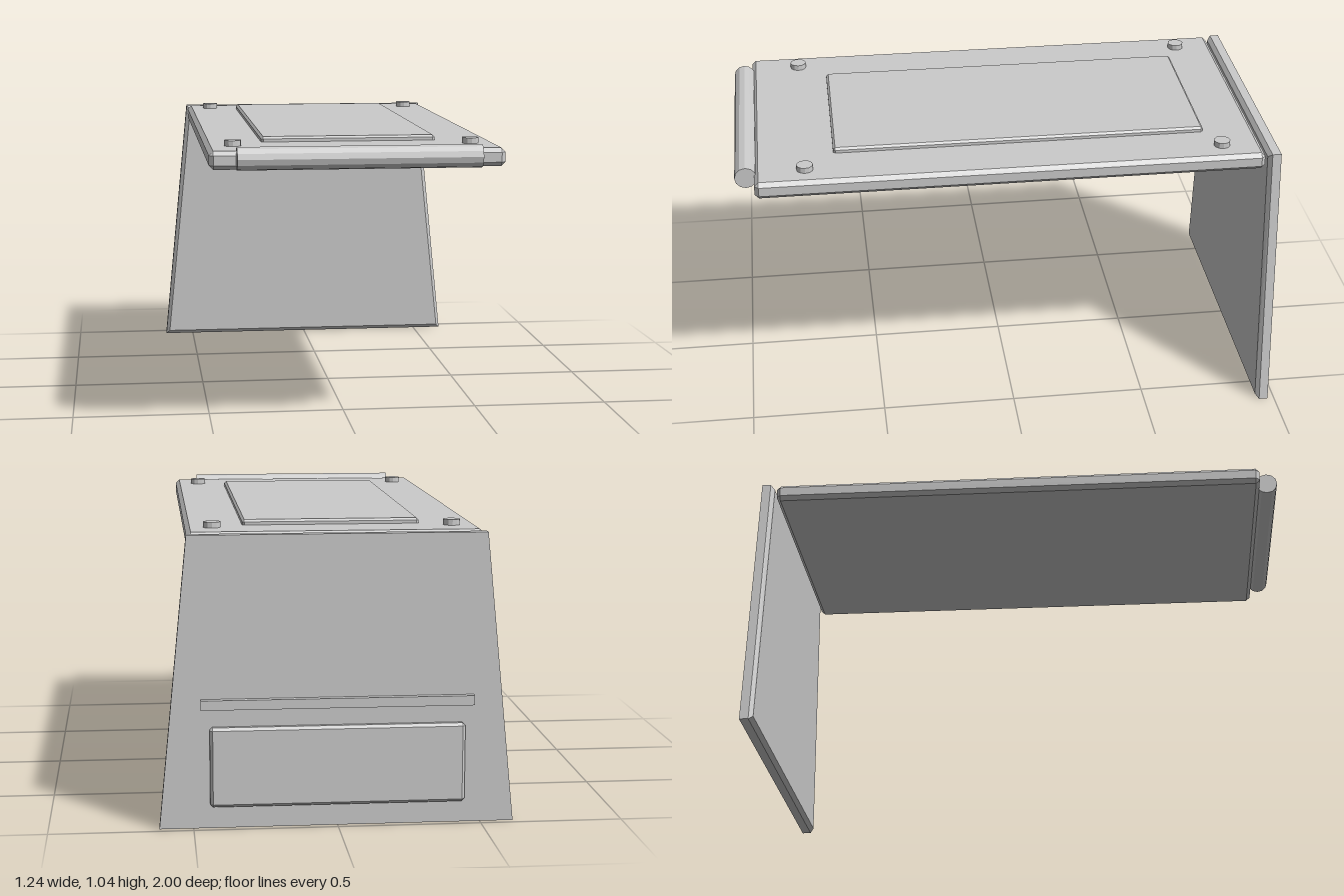
import * as THREE from 'three';
import { ConvexGeometry } from 'three/addons/geometries/ConvexGeometry.js';

const material = new THREE.MeshStandardMaterial({ color: 0xcccccc, flatShading: true });

export function createModel() {
  const model = new THREE.Group();

  const add = (name, geometry, x = 0, y = 0, z = 0) => {
    const mesh = new THREE.Mesh(geometry, material);
    mesh.name = name;
    mesh.position.set(x, y, z);
    model.add(mesh);
    return mesh;
  };

  // Box with all twelve edges chamfered by b
  const chamferBox = (w, h, d, b) => {
    const points = [];
    for (const sx of [-1, 1]) for (const sy of [-1, 1]) for (const sz of [-1, 1])
      for (let axis = 0; axis < 3; axis++) {
        const inset = (size, i) => size / 2 - (i === axis ? 0 : b);
        points.push(new THREE.Vector3(sx * inset(w, 0), sy * inset(h, 1), sz * inset(d, 2)));
      }
    return new ConvexGeometry(points);
  };

  // Top plate with raised panel
  add('topPlate', chamferBox(1.024, 0.064, 1.85, 0.015), 0, 0.99, 0.005);
  add('topPanel', chamferBox(0.625, 0.03, 1.37, 0.008), 0, 1.026, -0.043);

  // Round bar along the front edge
  add('frontBar', new THREE.CylinderGeometry(0.04, 0.04, 0.84, 12), 0, 1, 0.96)
    .rotation.z = Math.PI / 2;

  // Corner studs
  for (const x of [-0.42, 0.42]) for (const z of [-0.775, 0.748])
    add('cornerStud', new THREE.CylinderGeometry(0.03, 0.03, 0.03, 12), x, 1.027, z);

  // Tapered rear support, chamfered around its front face
  const outline = (z, inset) => [-1, 1].flatMap((s) => [
    new THREE.Vector3(s * (0.618 - inset), inset, z),
    new THREE.Vector3(s * (0.515 - inset), 1.02 - inset, z),
  ]);
  add('rearSupport', new ConvexGeometry([
    ...outline(-0.975, 0), ...outline(-0.942, 0), ...outline(-0.928, 0.015),
  ]));

  // Rear panel and the rail above it
  add('rearPanel', chamferBox(0.885, 0.28, 0.035, 0.01), 0, 0.218, -0.9825);
  add('rearRail', new THREE.BoxGeometry(0.945, 0.034, 0.03), 0, 0.438, -0.984);

  return model;
}
